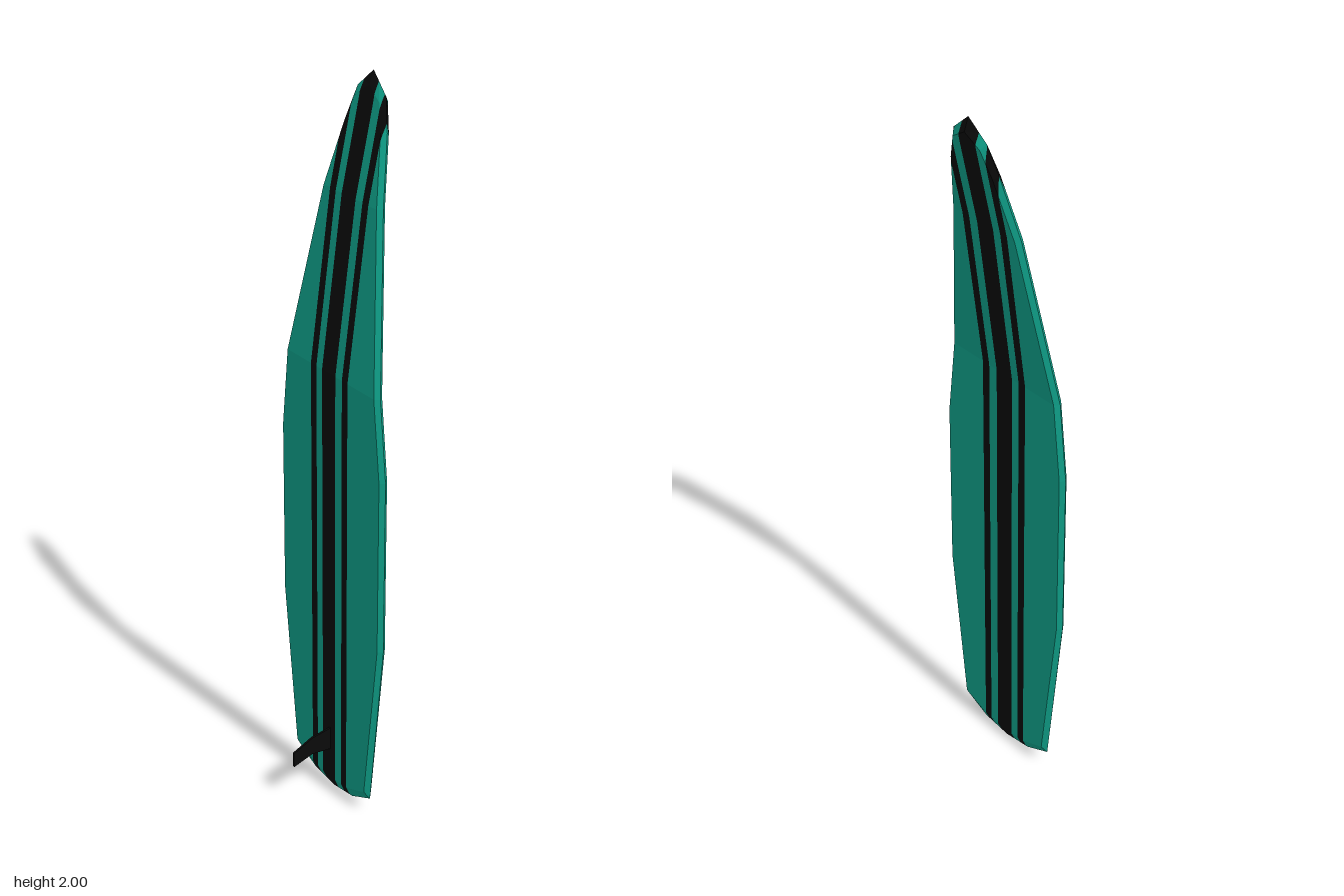
import * as THREE from 'three';

const teal = new THREE.MeshStandardMaterial({ name: 'teal', color: 0x0f9f88 });
const black = new THREE.MeshStandardMaterial({ name: 'black', color: 0x0a0a0a });

// Rows from tail to nose: rail [y, half width], flat face [y, half width], middle z
const ROWS = [
  [0.0, 0, 0.03, 0, -0.0025],
  [0.012, 0.085, 0.04, 0.08, -0.0025],
  [0.05, 0.163, 0.07, 0.152, -0.0025],
  [0.54, 0.213, 0.54, 0.203, -0.0025],
  [1.03, 0.213, 1.03, 0.203, -0.0025],
  [1.25, 0.189, 1.25, 0.179, -0.0025],
  [1.7, 0.115, 1.7, 0.105, -0.062],
  [1.87, 0.08, 1.865, 0.07, -0.098],
  [1.95, 0.055, 1.935, 0.045, -0.113],
  [2.0, 0, 1.965, 0, -0.118],
];
const HALF_THICK = 0.0125;

// Painted bands across the board: [name, from x, to x, material]
const BANDS = [
  ['rightOuterDeck', -1, -0.079, teal],
  ['rightStripe', -0.079, -0.056, black],
  ['rightInnerDeck', -0.056, -0.032, teal],
  ['centreStripe', -0.032, 0.023, black],
  ['leftInnerDeck', 0.023, 0.05, teal],
  ['leftStripe', 0.05, 0.073, black],
  ['leftOuterDeck', 0.073, 1, teal],
];

// Keeps the part of a polygon on one side of a plane of constant x
function clip(poly, x, side) {
  const out = [];
  poly.forEach((a, i) => {
    const b = poly[(i + 1) % poly.length];
    const da = (a.x - x) * side, db = (b.x - x) * side;
    if (da >= 0) out.push(a);
    if (da * db < 0) out.push(a.clone().lerp(b, da / (da - db)));
  });
  return out;
}

// Flat faces and bevelled rails, mirrored left/right and front/back
function boardFaces() {
  const faces = [];
  for (const s of [1, -1]) for (const f of [1, -1]) {
    const points = ([ry, rw, fy, fw, z]) => ({
      rail: new THREE.Vector3(s * rw, ry, z),
      face: new THREE.Vector3(s * fw, fy, z + f * HALF_THICK),
      mid: new THREE.Vector3(0, fy, z + f * HALF_THICK),
    });
    for (let i = 0; i < ROWS.length - 1; i++) {
      const a = points(ROWS[i]), b = points(ROWS[i + 1]);
      for (const quad of [
        [a.mid, a.face, b.face, b.mid],
        [a.face, a.rail, b.rail, b.face],
      ]) faces.push(s * f > 0 ? quad : quad.reverse());
    }
  }
  return faces;
}

function bandGeometry(faces, x0, x1) {
  const pts = [];
  for (const face of faces) {
    const p = clip(clip(face, x0, 1), x1, -1);
    for (let i = 1; i < p.length - 1; i++) {
      const tri = new THREE.Triangle(p[0], p[i], p[i + 1]);
      if (tri.getArea() > 1e-9) pts.push(p[0], p[i], p[i + 1]);
    }
  }
  const geo = new THREE.BufferGeometry().setFromPoints(pts);
  geo.computeVertexNormals();
  return geo;
}

export function createModel() {
  const model = new THREE.Group();
  model.name = 'surfboard';

  // Board, split into painted bands
  const board = new THREE.Group();
  board.name = 'board';
  const faces = boardFaces();
  for (const [name, x0, x1, material] of BANDS) {
    const mesh = new THREE.Mesh(bandGeometry(faces, x0, x1), material);
    mesh.name = name;
    board.add(mesh);
  }
  model.add(board);

  // Swept fin near the tail: profile drawn as (-z, y), then turned to face +z
  const profile = [[0, 0.195], [0.07, 0.186], [0.131, 0.16], [0.131, 0.117], [0.07, 0.134], [0, 0.125]];
  const shape = new THREE.Shape(profile.map(([z, y]) => new THREE.Vector2(-z, y)));
  const finGeo = new THREE.ExtrudeGeometry(shape, { depth: 0.006, bevelEnabled: false });
  finGeo.translate(0, 0, -0.003).rotateY(Math.PI / 2);
  const fin = new THREE.Mesh(finGeo, black);
  fin.name = 'fin';
  model.add(fin);

  return model;
}
